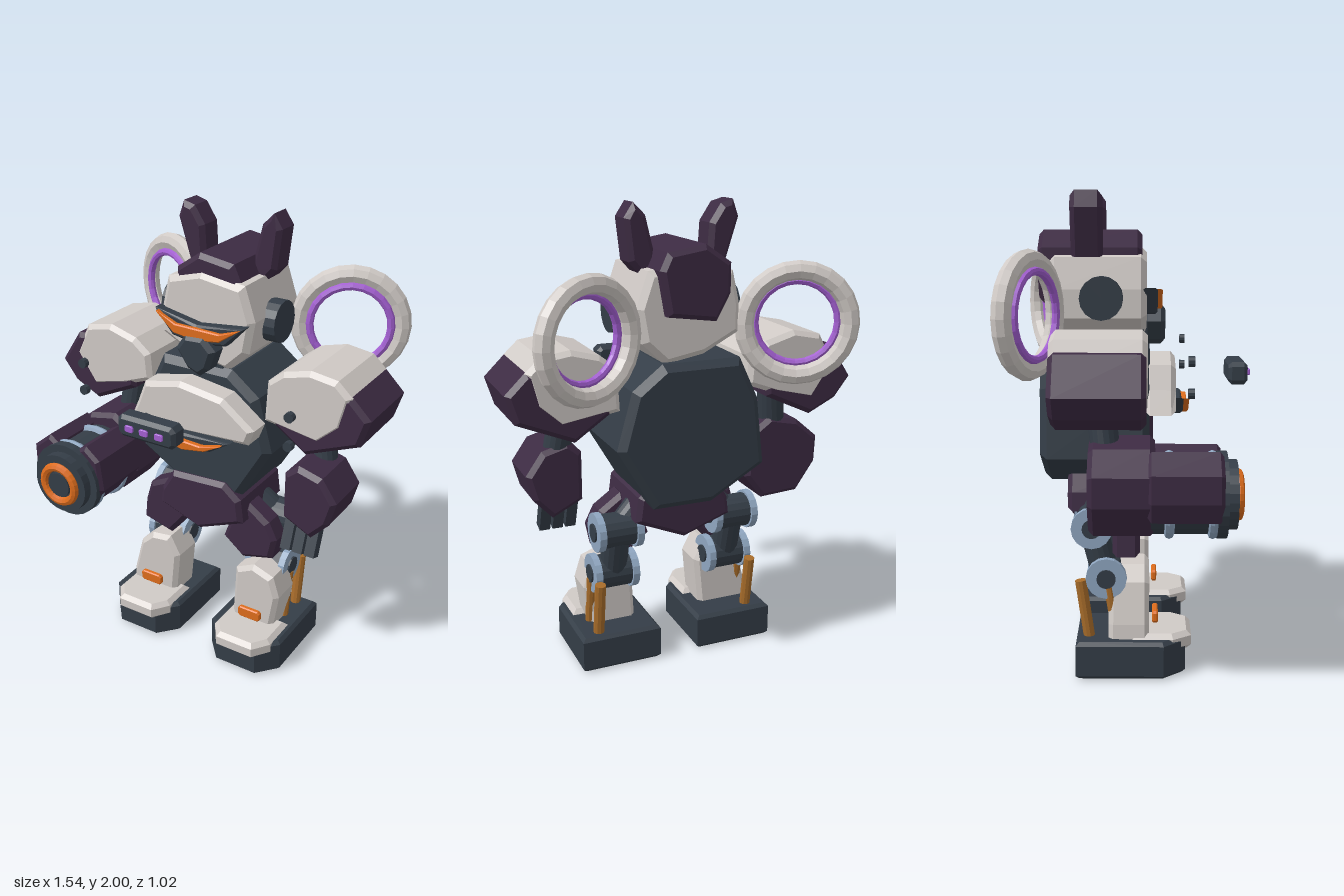
import * as THREE from 'three';

const mat = (name, color) => {
  const m = new THREE.MeshStandardMaterial({ color, flatShading: true });
  m.name = name;
  return m;
};

export function createModel() {
  const white = mat('warm white armour', 0xd0cac6);
  const plum = mat('dark plum armour', 0x3d2b43);
  const slate = mat('slate frame', 0x343d47);
  const orange = mat('orange glow', 0xdd6c1c);
  const lilac = mat('lilac glow', 0xa35fd2);
  const steel = mat('blue steel', 0x8fa6c0);
  const ochre = mat('ochre piston', 0xa86c2a);

  const root = new THREE.Group();
  const add = (name, geo, material, parent = root) => {
    const m = new THREE.Mesh(geo, material);
    m.name = name;
    parent.add(m);
    return m;
  };

  // Bevelled slab: outline in x/y, running from z0 to z1
  const slab = (name, pts, z0, z1, material, b = 0.02) => {
    const shape = new THREE.Shape(pts.map(([x, y]) => new THREE.Vector2(x, y)));
    const geo = new THREE.ExtrudeGeometry(shape, {
      depth: z1 - z0 - 2 * b, bevelEnabled: true, bevelSize: b, bevelThickness: b,
      bevelOffset: -b, bevelSegments: 1,
    });
    geo.translate(0, 0, z0 + b);
    return add(name, geo, material);
  };
  // Chamfered box given by its limits
  const block = (name, x0, x1, y0, y1, z0, z1, material, b = 0.012) => {
    const c = Math.min(x1 - x0, y1 - y0) * 0.2;
    return slab(name, [[x0 + c, y0], [x1 - c, y0], [x1, y0 + c], [x1, y1 - c],
      [x1 - c, y1], [x0 + c, y1], [x0, y1 - c], [x0, y0 + c]], z0, z1, material, b);
  };
  // Cylinder between two points
  const rod = (name, a, b, r, material, sides = 16) => {
    const p = new THREE.Vector3(...a), q = new THREE.Vector3(...b), d = q.clone().sub(p);
    const m = add(name, new THREE.CylinderGeometry(r, r, d.length(), sides), material);
    m.position.copy(p).add(q).multiplyScalar(0.5);
    m.quaternion.setFromUnitVectors(new THREE.Vector3(0, 1, 0), d.normalize());
    return m;
  };
  const ring = (name, R, r, material, x, y, z, parent = root) => {
    const m = add(name, new THREE.TorusGeometry(R, r, 8, 24), material, parent);
    m.position.set(x, y, z);
    return m;
  };

  // Torso and pelvis
  slab('torso', [[-0.32, 0.91], [-0.08, 0.77], [0.18, 0.77], [0.337, 1.04], [0.27, 1.28],
    [0.14, 1.38], [-0.2, 1.38], [-0.285, 1.2]], -0.385, 0.07, slate, 0.03);
  slab('pelvis', [[-0.2, 0.74], [-0.14, 0.84], [0.13, 0.855], [0.21, 0.79], [0.225, 0.68],
    [0, 0.585], [-0.21, 0.66]], -0.28, 0.095, plum);
  slab('chestPlate', [[-0.305, 1.09], [0.29, 1.12], [0.317, 1.19], [0.17, 1.3], [-0.04, 1.33],
    [-0.22, 1.29], [-0.26, 1.19]], 0.05, 0.178, white);
  slab('chestVentFrame', [[-0.21, 1.15], [0, 1.12], [0.23, 1.13], [0.13, 1.065], [0.01, 1.05],
    [-0.1, 1.07]], 0.165, 0.213, slate, 0.01);
  slab('chestVentGlow', [[-0.19, 1.145], [-0.1, 1.105], [0.1, 1.095], [0.2, 1.12], [0.12, 1.075],
    [0.01, 1.056], [-0.08, 1.075]], 0.2, 0.237, orange, 0.005);
  block('chestDisplay', -0.13, 0.147, 1.195, 1.29, 0.405, 0.487, slate, 0.015);
  for (const x of [-0.062, 0.008, 0.08])
    block('displayLight', x - 0.02, x + 0.02, 1.23, 1.258, 0.49, 0.5, lilac, 0.002);

  // Head
  block('neck', -0.09, 0.107, 1.3, 1.46, -0.17, 0.045, slate);
  slab('head', [[-0.205, 1.48], [-0.205, 1.6], [-0.175, 1.73], [-0.01, 1.775], [0.19, 1.745],
    [0.24, 1.6], [0.215, 1.46], [0.12, 1.37], [-0.05, 1.4]], -0.35, 0.057, white, 0.025);
  slab('hood', [[-0.14, 1.65], [-0.14, 1.77], [-0.03, 1.845], [0.13, 1.82], [0.163, 1.75],
    [0.13, 1.57], [-0.08, 1.54]], -0.4, 0.038, plum);
  slab('rightEar', [[-0.238, 1.93], [-0.213, 2], [-0.16, 1.985], [-0.11, 1.91], [-0.1, 1.75],
    [-0.17, 1.715]], -0.258, -0.125, plum);
  slab('leftEar', [[0.165, 1.95], [0.215, 2], [0.255, 1.94], [0.235, 1.77], [0.19, 1.72],
    [0.115, 1.75]], -0.258, -0.125, plum);
  rod('rightEarDisc', [-0.267, 1.565, -0.13], [-0.19, 1.565, -0.13], 0.09, slate);
  rod('leftEarDisc', [0.2, 1.565, -0.13], [0.285, 1.565, -0.13], 0.09, slate);
  slab('visorFrame', [[-0.205, 1.605], [0, 1.565], [0.225, 1.59], [0.14, 1.5], [0, 1.48],
    [-0.12, 1.5]], 0.04, 0.103, slate, 0.01);
  slab('visorGlow', [[-0.185, 1.6], [-0.09, 1.56], [0.12, 1.555], [0.212, 1.585], [0.12, 1.52],
    [0.01, 1.505], [-0.1, 1.52]], 0.09, 0.123, orange, 0.005);
  slab('muzzle', [[-0.085, 1.46], [-0.04, 1.525], [0.05, 1.53], [0.105, 1.475], [0.075, 1.39],
    [0.03, 1.355], [-0.03, 1.38]], 0.04, 0.137, slate);

  // Shoulders
  slab('rightShoulder', [[-0.77, 1.23], [-0.67, 1.38], [-0.45, 1.4], [-0.35, 1.26],
    [-0.36, 1.18], [-0.575, 1.08], [-0.7, 1.14]], -0.313, 0.055, plum);
  slab('rightShoulderPlate', [[-0.61, 1.43], [-0.48, 1.457], [-0.35, 1.42], [-0.275, 1.36],
    [-0.265, 1.24], [-0.4, 1.19], [-0.58, 1.145], [-0.68, 1.29]], -0.315, 0.06, white);
  slab('leftShoulder', [[0.767, 1.3], [0.68, 1.385], [0.45, 1.36], [0.33, 1.19], [0.49, 1.08],
    [0.73, 1.18]], -0.313, 0.055, plum);
  slab('leftShoulderPlate', [[0.31, 1.37], [0.38, 1.425], [0.5, 1.457], [0.62, 1.44],
    [0.685, 1.38], [0.65, 1.24], [0.55, 1.15], [0.3, 1.19]], -0.315, 0.06, white);
  for (const x of [-0.495, 0.51])
    for (const y of [1.335, 1.21])
      rod('shoulderBolt', [x, y, 0.218], [x, y, 0.243], 0.021, slate, 10);

  // Tilted rings behind the shoulders
  for (const s of [-1, 1]) {
    const halo = new THREE.Group();
    halo.name = s < 0 ? 'rightHalo' : 'leftHalo';
    ring('haloRim', 0.217, 0.04, white, 0, 0, 0, halo);
    ring('haloGlow', 0.172, 0.017, lilac, 0, 0, 0.028, halo);
    halo.position.set(s * 0.447 + 0.012, 1.508, -0.402);
    halo.rotation.y = s * 0.39;
    root.add(halo);
  }

  // Right arm with cannon
  rod('rightElbow', [-0.47, 1.2, -0.13], [-0.5, 0.95, -0.1], 0.058, slate);
  slab('rightForearm', [[-0.705, 0.92], [-0.6, 1.01], [-0.46, 1.04], [-0.36, 0.97],
    [-0.345, 0.77], [-0.43, 0.66], [-0.61, 0.67], [-0.7, 0.8]], -0.17, 0.09, plum);
  const cx = -0.52, cy = 0.815;
  rod('cannonBarrel', [cx, cy, 0.05], [cx, cy, 0.35], 0.155, slate, 24);
  slab('cannonOuterShell', [[-0.713, 0.93], [-0.62, 1.005], [-0.575, 0.97], [-0.6, 0.78],
    [-0.68, 0.74], [-0.713, 0.82]], 0.06, 0.352, plum, 0.015);
  slab('cannonInnerShell', [[-0.47, 0.97], [-0.42, 0.997], [-0.35, 0.94], [-0.333, 0.8],
    [-0.39, 0.72], [-0.46, 0.8]], 0.06, 0.352, plum, 0.015);
  for (const z of [0.145, 0.315]) ring('barrelBand', 0.155, 0.02, steel, cx, cy, z);
  rod('cannonCollar', [cx, cy, 0.33], [cx, cy, 0.37], 0.172, slate, 24);
  rod('cannonMuzzle', [cx, cy, 0.36], [cx, cy, 0.41], 0.138, slate, 24);
  ring('muzzleGlow', 0.084, 0.02, orange, cx, cy, 0.415);
  rod('muzzleCore', [cx, cy, 0.4], [cx, cy, 0.425], 0.058, slate, 20);

  // Left arm with fingers
  rod('leftElbow', [0.48, 1.2, -0.13], [0.52, 0.95, -0.1], 0.058, slate);
  slab('leftForearm', [[0.48, 1.04], [0.59, 1.01], [0.66, 0.91], [0.63, 0.8], [0.55, 0.715],
    [0.42, 0.78], [0.42, 0.99]], -0.17, 0.09, plum);
  for (const x of [0.425, 0.483, 0.541]) {
    const f = add('finger', new THREE.BoxGeometry(0.047, 0.17, 0.05), slate);
    f.position.set(x, 0.68, 0.01);
    f.rotation.x = -0.35;
  }

  // Legs
  slab('rightThigh', [[-0.31, 0.7], [-0.21, 0.75], [-0.12, 0.7], [-0.11, 0.57], [-0.2, 0.46],
    [-0.35, 0.5], [-0.34, 0.6]], -0.085, 0.03, plum);
  slab('leftThigh', [[0.14, 0.68], [0.22, 0.75], [0.32, 0.68], [0.36, 0.6], [0.34, 0.5],
    [0.19, 0.46], [0.09, 0.54]], -0.085, 0.03, plum);
  slab('rightShin', [[-0.28, 0.45], [-0.18, 0.463], [-0.13, 0.37], [-0.155, 0.12],
    [-0.4, 0.12], [-0.39, 0.22], [-0.345, 0.39]], -0.1, 0.07, white);
  slab('leftShin', [[0.18, 0.42], [0.27, 0.465], [0.37, 0.43], [0.402, 0.33], [0.37, 0.12],
    [0.165, 0.12]], -0.1, 0.07, white);

  for (const s of [-1, 1]) {
    const side = s < 0 ? 'right' : 'left';
    const x = s < 0 ? -0.262 : 0.278;
    // Upper and lower joints with steel end caps
    for (const [y, z] of [[0.625, -0.17], [0.41, -0.11]]) {
      rod(side + 'Joint', [x - 0.085, y, z], [x + 0.085, y, z], 0.075, slate);
      for (const e of [-1, 1]) {
        rod(side + 'JointCap', [x + e * 0.07, y, z], [x + e * 0.1, y, z], 0.086, steel);
        rod(side + 'JointHub', [x + e * 0.09, y, z], [x + e * 0.108, y, z], 0.04, slate);
      }
    }
    rod(side + 'LegLink', [x, 0.65, -0.18], [x, 0.38, -0.11], 0.06, slate);
    rod(side + 'HipLink', [x * 0.6, 0.72, -0.14], [x, 0.62, -0.17], 0.055, slate);
    // Pistons
    const px = s < 0 ? -0.345 : 0.37;
    rod(side + 'FrontPiston', [px, 0.14, -0.06], [px, 0.38, -0.1], 0.022, ochre, 10);
    rod(side + 'RearPiston', [px, 0.14, -0.18], [px, 0.4, -0.217], 0.024, ochre, 10);
    block(side + 'ShinLight', x - 0.057, x + 0.055, 0.2, 0.252, 0.083, 0.107, orange, 0.005);
    // Foot outline with cut toe corners, raised along y
    const sole = slab(side + 'Foot', [[-0.18, 0.235], [0.18, 0.235], [0.18, -0.13],
      [0.1, -0.222], [-0.1, -0.222], [-0.18, -0.13]], 0, 0.16, slate, 0.015);
    sole.rotation.x = -Math.PI / 2;
    sole.position.x = x;
    const tx = x + 0.005;
    const toe = slab(side + 'Toe', [[-0.145, 0], [0.145, 0], [0.145, -0.17], [0.09, -0.247],
      [-0.09, -0.247], [-0.145, -0.17]], 0.1, 0.18, white, 0.02);
    toe.rotation.x = -Math.PI / 2;
    toe.position.x = tx;
  }
  return root;
}
